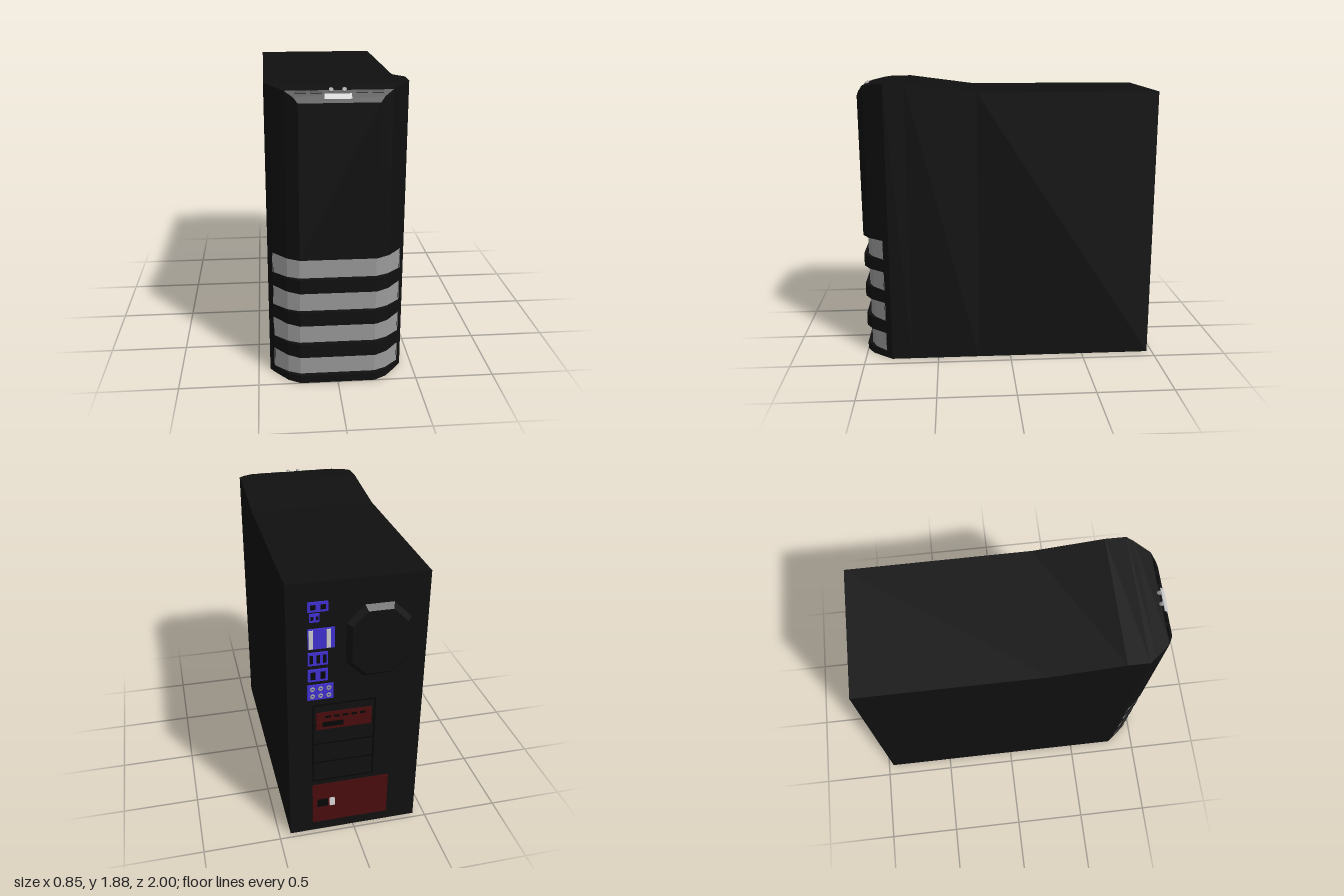
import * as THREE from 'three';

const mat = (color) => new THREE.MeshStandardMaterial({ color, flatShading: true });
const black = mat(0x101010), dark = mat(0x070707), red = mat(0x4a0c0c), blue = mat(0x4030d0);
const grey = mat(0x9a9a9a), light = mat(0xcccccc);
const BACK = -0.965;

// Solid lofted along z; each station is [z, halfWidth, bottom, top]
function loft(stations) {
  const pos = [];
  const rings = stations.map(([z, w, y0, y1]) => [[-w, y0, z], [w, y0, z], [w, y1, z], [-w, y1, z]]);
  const quad = (a, b, c, d) => [a, b, c, a, c, d].forEach((p) => pos.push(...p));
  for (let s = 0; s < rings.length - 1; s++) {
    const a = rings[s], b = rings[s + 1];
    for (let i = 0; i < 4; i++) {
      const j = (i + 1) % 4;
      quad(a[i], a[j], b[j], b[i]);
    }
  }
  const first = rings[0], last = rings[rings.length - 1];
  quad(last[0], last[1], last[2], last[3]);
  quad(first[3], first[2], first[1], first[0]);
  const geo = new THREE.BufferGeometry();
  geo.setAttribute('position', new THREE.Float32BufferAttribute(pos, 3));
  geo.computeVertexNormals();
  return geo;
}

export function createModel() {
  const model = new THREE.Group();
  model.name = 'computerTower';
  const add = (name, geo, material, x = 0, y = 0, z = 0) => {
    const mesh = new THREE.Mesh(geo, material);
    mesh.name = name;
    mesh.position.set(x, y, z);
    model.add(mesh);
    return mesh;
  };
  // Plate standing out from the back panel
  const backPlate = (name, x0, x1, y0, y1, depth, material) =>
    add(name, new THREE.BoxGeometry(x1 - x0, y1 - y0, depth * 2), material, (x0 + x1) / 2, (y0 + y1) / 2, BACK);

  // Main case with the raised top
  add('case', loft([
    [BACK, 0.425, 0, 1.82], [0.22, 0.425, 0, 1.82], [0.68, 0.425, 0, 1.88],
    [0.815, 0.425, 0, 1.878], [0.86, 0.392, 0, 1.874],
  ]), black);

  // Front panel: upper part, then solid bands with grey strips set back between them
  add('upperFrontPanel', loft([
    [0.86, 0.392, 0.84, 1.874], [0.955, 0.312, 0.84, 1.855], [0.985, 0.26, 0.84, 1.822], [1, 0.235, 0.84, 1.79],
  ]), black);
  for (let i = 0; i < 4; i++) {
    const y0 = 0.05 + i * 0.22, y1 = y0 + 0.13, below = i ? y0 - 0.09 : 0;
    add('frontBand', loft([[0.86, 0.392, below, y0], [0.955, 0.312, below, y0], [1, 0.235, below, y0]]), black);
    add('frontStrip', loft([[0.855, 0.397, y0, y1], [0.935, 0.31, y0, y1], [0.968, 0.235, y0, y1]]), grey);
  }

  // Top front controls
  const plate = add('controlPlate', new THREE.BoxGeometry(0.155, 0.036, 0.012), light, -0.007, 1.822, 0.984);
  plate.rotation.x = -0.75;
  for (const x of [-0.045, 0.03]) {
    const button = add('button', new THREE.CylinderGeometry(0.013, 0.013, 0.02, 12), grey, x, 1.855, 0.957);
    button.rotation.x = 0.8;
  }
  for (const side of [-1, 1]) {
    for (const x of [0.13, 0.22]) {
      const slot = add('portSlot', new THREE.BoxGeometry(0.065, 0.01, 0.016), dark, side * x, 1.846, 0.963);
      slot.rotation.x = 0.8;
    }
  }

  // Bevelled fan housing on the back
  const [l, r, b, t, c] = [-0.29, 0.04, 1.205, 1.62, 0.09];
  const outline = [[l + c, b], [r - c, b], [r, b + c], [r, t - c], [r - c, t], [l + c, t], [l, t - c], [l, b + c]];
  const fan = new THREE.Shape(outline.map(([x, y]) => new THREE.Vector2(x, y)));
  add('fanHousing', new THREE.ExtrudeGeometry(fan, {
    depth: 0.002, bevelThickness: 0.034, bevelSize: 0.03, bevelSegments: 1,
  }), black, 0, 0, BACK - 0.001);

  // Column of ports: [x0, x1, y0, y1, columns, rows] of dark openings
  const ports = [
    [0.18, 0.3, 1.64, 1.7, 2, 1], [0.23, 0.29, 1.575, 1.627, 2, 1], [0.14, 0.3, 1.4, 1.53, 0, 0],
    [0.18, 0.3, 1.29, 1.374, 3, 1], [0.18, 0.3, 1.18, 1.26, 2, 1],
  ];
  for (const [x0, x1, y0, y1, cols] of ports) {
    backPlate('portBlock', x0, x1, y0, y1, 0.012, blue);
    for (let i = 0; i < cols; i++) {
      const w = (x1 - x0) / cols, cx = x0 + (i + 0.5) * w;
      backPlate('portOpening', cx - w * 0.25, cx + w * 0.25, y0 + 0.015, y1 - 0.015, 0.014, dark);
    }
  }
  for (const x of [0.165, 0.27]) {
    backPlate('longConnector', x, x + 0.025, 1.405, 1.525, 0.018, light);
  }

  // Round audio jacks
  backPlate('audioBlock', 0.145, 0.305, 1.05, 1.153, 0.012, blue);
  for (let i = 0; i < 6; i++) {
    const jack = add('audioJack', new THREE.TorusGeometry(0.011, 0.005, 6, 12), grey,
      0.175 + (i % 3) * 0.05, 1.077 + Math.floor(i / 3) * 0.05, BACK - 0.013);
    jack.rotation.y = Math.PI;
  }

  // Expansion card bay with its thin frame
  for (const x of [-0.12, 0.27]) backPlate('bayFrameSide', x - 0.006, x + 0.006, 0.42, 1.0, 0.004, dark);
  for (let i = 0; i < 5; i++) {
    const y = 0.42 + i * 0.145;
    backPlate('bayFrameBar', -0.12, 0.27, y - 0.005, y + 0.005, 0.004, dark);
  }
  backPlate('expansionCard', -0.1, 0.25, 0.82, 0.945, 0.006, red);
  backPlate('cardSocket', 0.08, 0.21, 0.84, 0.875, 0.009, dark);
  for (let i = 0; i < 5; i++) backPlate('cardVent', -0.06 + i * 0.055, -0.025 + i * 0.055, 0.905, 0.92, 0.008, dark);

  // Power supply with socket and tilted rocker switch
  backPlate('powerSupply', -0.23, 0.275, 0.07, 0.383, 0.005, red);
  backPlate('powerSocket', 0.175, 0.245, 0.2, 0.26, 0.009, dark);
  const rocker = add('rockerSwitch', new THREE.BoxGeometry(0.035, 0.055, 0.016), light, 0.147, 0.235, BACK - 0.008);
  rocker.rotation.x = 0.2;

  return model;
}
